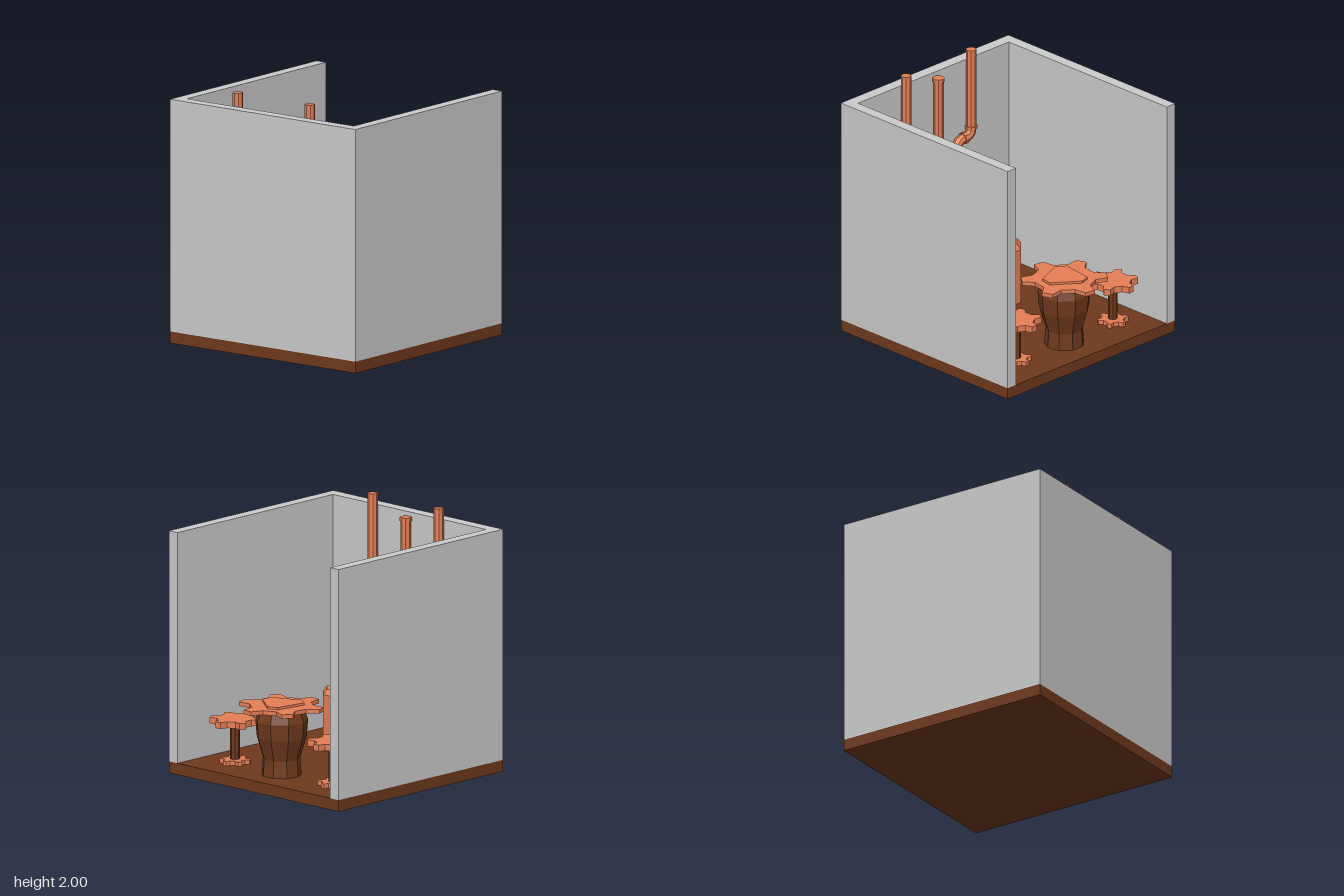
import * as THREE from 'three';

const copper = new THREE.MeshStandardMaterial({ color: 0xe67f57, flatShading: true });
const brown = new THREE.MeshStandardMaterial({ color: 0x6f391d, flatShading: true });
const grey = new THREE.MeshStandardMaterial({ color: 0xcccccc, flatShading: true });
const V = (x, y, z) => new THREE.Vector3(x, y, z);

function add(parent, name, geometry, material, x = 0, y = 0, z = 0) {
  const mesh = new THREE.Mesh(geometry, material);
  mesh.name = name;
  mesh.position.set(x, y, z);
  parent.add(mesh);
  return mesh;
}

function box(parent, name, material, x0, x1, y0, y1, z0, z1) {
  return add(parent, name, new THREE.BoxGeometry(x1 - x0, y1 - y0, z1 - z0), material,
    (x0 + x1) / 2, (y0 + y1) / 2, (z0 + z1) / 2);
}

// Horizontal plate with an outline of [x, z] points, from y0 up to y1
function plate(points, y0, y1, bevel = 0, bevelHeight = bevel) {
  const shape = new THREE.Shape(points.map(([x, z]) => new THREE.Vector2(x, -z)));
  const geometry = new THREE.ExtrudeGeometry(shape, {
    depth: y1 - y0 - 2 * bevelHeight, bevelEnabled: bevel > 0,
    bevelSize: bevel, bevelThickness: bevelHeight, bevelSegments: 1,
  });
  return geometry.rotateX(-Math.PI / 2).translate(0, y0 + bevelHeight, 0);
}

// Outline of a six-toothed gear with flared teeth
function gearOutline(radius, turn = 0) {
  const points = [];
  for (let i = 0; i < 6; i++) {
    for (const [deg, r] of [[-17, 0.73], [-7.5, 1], [7.5, 1], [17, 0.73]]) {
      const a = THREE.MathUtils.degToRad(i * 60 + deg + turn);
      points.push([Math.sin(a) * r * radius, -Math.cos(a) * r * radius]);
    }
  }
  return points;
}

// Straight rod between two points
function rod(parent, name, a, b, r, sides = 8, material = copper) {
  const dir = b.clone().sub(a);
  const mesh = add(parent, name, new THREE.CylinderGeometry(r, r, dir.length(), sides), material);
  mesh.position.copy(a).add(b).multiplyScalar(0.5);
  mesh.quaternion.setFromUnitVectors(V(0, 1, 0), dir.normalize());
  return mesh;
}

// Pipe through corner points, with rounded elbows and a collar at each elbow end
function pipe(parent, points, r, bend) {
  let start = points[0];
  for (let i = 1; i < points.length; i++) {
    const p = points[i];
    if (i === points.length - 1) { rod(parent, 'pipeRun', start, p, r); break; }
    const inDir = p.clone().sub(points[i - 1]).normalize();
    const outDir = points[i + 1].clone().sub(p).normalize();
    const a = p.clone().addScaledVector(inDir, -bend);
    const b = p.clone().addScaledVector(outDir, bend);
    rod(parent, 'pipeRun', start, a, r);
    const curve = new THREE.QuadraticBezierCurve3(a, p, b);
    add(parent, 'pipeElbow', new THREE.TubeGeometry(curve, 5, r, 8), copper);
    for (const [c, d] of [[a, inDir], [b, outDir]]) {
      rod(parent, 'pipeCollar', c.clone().addScaledVector(d, -0.012), c.clone().addScaledVector(d, 0.012), r * 1.18);
    }
    start = b;
  }
}

function buildRoom() {
  const room = new THREE.Group();
  room.name = 'room';
  box(room, 'floor', brown, -0.9, 0.9, 0, 0.09, -0.885, 0.92);
  box(room, 'frontWall', grey, -0.9, 0.9, 0.09, 1.9, 0.825, 0.92);
  box(room, 'leftWall', grey, 0.81, 0.9, 0.09, 1.9, -0.885, 0.825);
  box(room, 'rightWall', grey, -0.9, -0.81, 0.09, 1.9, -0.885, 0.825);
  return room;
}

function buildTable() {
  const table = new THREE.Group();
  table.name = 'gearTable';
  table.position.set(-0.005, 0, -0.587);
  add(table, 'tableTop', plate(gearOutline(0.333, 8), 0.605, 0.637), copper);
  // Raised irregular slab in the middle of the top
  const slab = [[-0.1, -0.15], [-0.02, -0.175], [0.178, -0.025], [0.168, 0.067], [-0.063, 0.165], [-0.14, 0.11]];
  add(table, 'tableInset', plate(slab, 0.63, 0.655), copper);
  // Faceted pedestal
  const profile = [[0, 0.08], [0.155, 0.08], [0.145, 0.22], [0.195, 0.39], [0.205, 0.52], [0.17, 0.61], [0, 0.61]];
  add(table, 'pedestal', new THREE.LatheGeometry(profile.map(([r, y]) => new THREE.Vector2(r, y)), 9), brown);
  return table;
}

function buildStool(x) {
  const stool = new THREE.Group();
  stool.name = 'gearStool';
  stool.position.set(x, 0, -0.573);
  add(stool, 'seat', plate(gearOutline(0.195, -2), 0.395, 0.445), copper);
  add(stool, 'post', new THREE.CylinderGeometry(0.037, 0.037, 0.31, 8), brown, 0, 0.25, 0);
  add(stool, 'foot', plate(gearOutline(0.12, -2), 0.085, 0.125), copper);
  return stool;
}

function buildBoiler() {
  const boiler = new THREE.Group();
  boiler.name = 'boiler';
  // Body with cut corners and a bevelled top
  const body = [[-0.29, 0.21], [0.28, 0.21], [0.355, 0.285], [0.355, 0.6],
    [0.315, 0.64], [-0.325, 0.64], [-0.365, 0.6], [-0.365, 0.285]];
  add(boiler, 'body', plate(body, 0.05, 0.57, 0.03, 0.04), copper);
  // Grille with three rounded slots on the back
  box(boiler, 'grilleFrame', copper, -0.15, 0.14, 0.12, 0.44, 0.174, 0.2);
  box(boiler, 'grilleBacking', brown, -0.09, 0.076, 0.19, 0.39, 0.17, 0.19);
  const grille = new THREE.Shape();
  grille.moveTo(-0.1, 0.15).lineTo(0.1, 0.15).lineTo(0.1, 0.37).lineTo(0.07, 0.41)
    .lineTo(-0.07, 0.41).lineTo(-0.1, 0.37).closePath();
  for (const x of [-0.045, 0, 0.045]) {
    const slot = new THREE.Path();
    slot.absarc(x, 0.35, 0.013, 0, Math.PI, false);
    slot.absarc(x, 0.23, 0.013, Math.PI, Math.PI * 2, false);
    slot.closePath();
    grille.holes.push(slot);
  }
  add(boiler, 'grille', new THREE.ExtrudeGeometry(grille, { depth: 0.02, bevelEnabled: false, curveSegments: 4 }),
    copper, -0.007, 0, 0.155);
  return boiler;
}

// Tap standing on the boiler: two posts, a crossbar, a stem and a double spout
function buildTap() {
  const tap = new THREE.Group();
  tap.name = 'tap';
  const y = 0.74;
  for (const s of [-1, 1]) {
    rod(tap, 'tapPost', V(s * 0.107, 0.55, 0.64), V(s * 0.107, y, 0.64), 0.02);
    add(tap, 'tapKnob', new THREE.SphereGeometry(0.031, 8, 6), copper, s * 0.107, y, 0.64);
    const curve = new THREE.QuadraticBezierCurve3(V(0, y, 0.535), V(s * 0.09, y, 0.535), V(s * 0.09, y - 0.09, 0.535));
    add(tap, 'spout', new THREE.TubeGeometry(curve, 6, 0.018, 8), copper);
    rod(tap, 'spoutRim', V(s * 0.09, y - 0.11, 0.535), V(s * 0.09, y - 0.08, 0.535), 0.026);
    rod(tap, 'lever', V(s * 0.08, y - 0.04, 0.53), V(s * 0.12, y - 0.02, 0.49), 0.008, 6);
  }
  rod(tap, 'crossbar', V(-0.107, y, 0.64), V(0.107, y, 0.64), 0.016);
  rod(tap, 'stem', V(0, y, 0.66), V(0, y, 0.53), 0.022);
  return tap;
}

function buildPipes() {
  const pipes = new THREE.Group();
  pipes.name = 'pipes';
  const z = 0.775, r = 0.04, inletY = 0.36;
  // Outer pipes jog inward, then turn into the boiler
  for (const s of [-1, 1]) {
    const top = s * 0.35 - 0.007, low = s * 0.2 - 0.005;
    pipe(pipes, [V(top, 2, z), V(top, 1.28, z), V(low, 1.28, z), V(low, inletY, z), V(low, inletY, 0.62)], r, 0.07);
    rod(pipes, 'inletFlange', V(low, inletY, 0.66), V(low, inletY, 0.69), 0.05);
  }
  // Middle pipe runs straight down
  pipe(pipes, [V(-0.006, 1.86, z), V(-0.006, inletY, z), V(-0.006, inletY, 0.62)], r, 0.07);
  rod(pipes, 'topCollar', V(-0.006, 1.84, z), V(-0.006, 1.87, z), 0.047);
  rod(pipes, 'inletFlange', V(-0.006, inletY, 0.66), V(-0.006, inletY, 0.69), 0.05);
  return pipes;
}

export function createModel() {
  const model = new THREE.Group();
  model.name = 'workshopRoom';
  model.add(buildRoom(), buildTable(), buildStool(0.5), buildStool(-0.54), buildBoiler(), buildTap(), buildPipes());
  return model;
}
